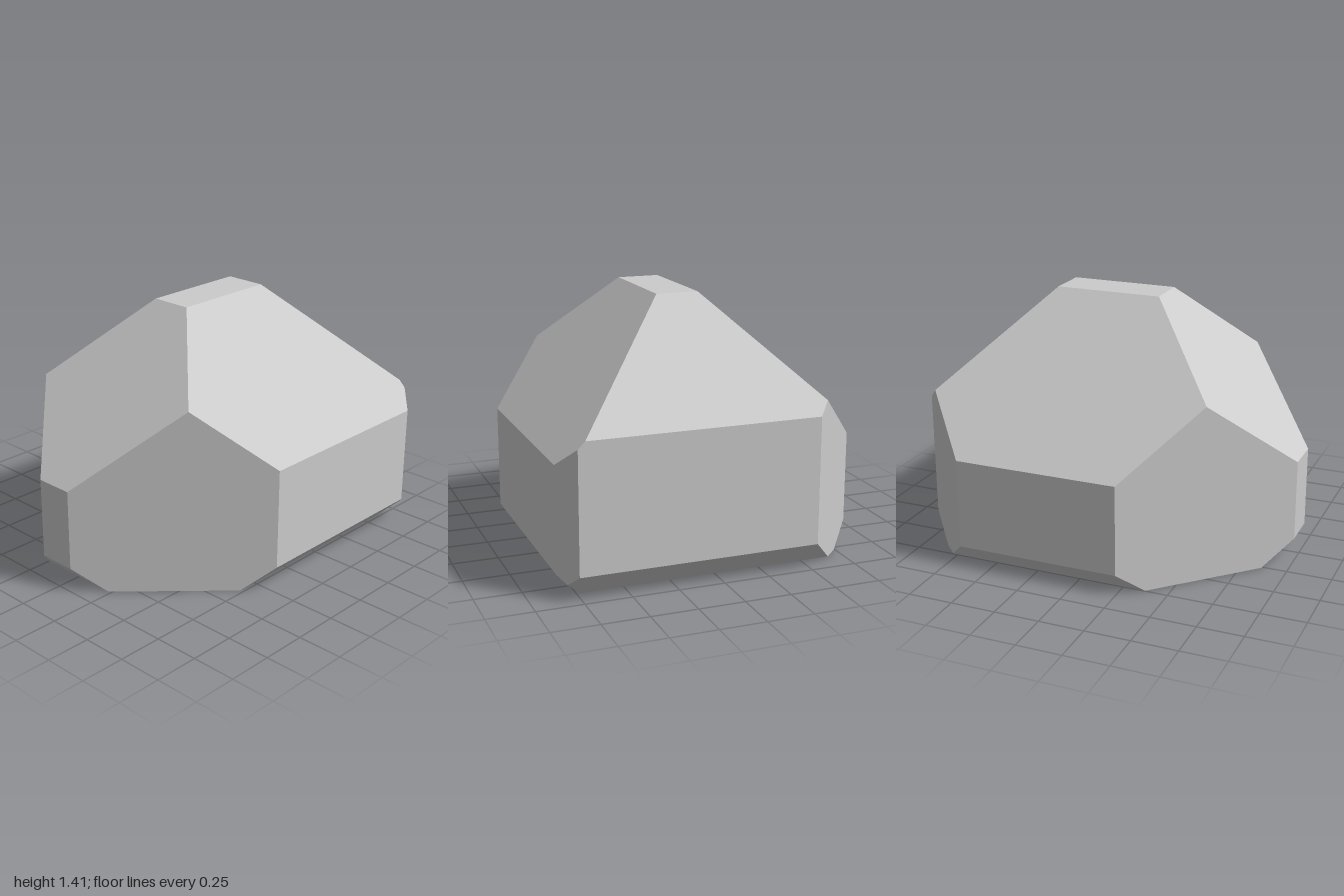
import * as THREE from 'three';
import { ConvexGeometry } from 'three/addons/geometries/ConvexGeometry.js';

// Bounding planes of the faceted block: outward direction and its limit, dot(n, p) <= d
const PLANES = [
  // box sides
  [1, 0, 0, 1], [-1, 0, 0, 1], [0, 1, 0, 1.41], [0, -1, 0, 0], [0, 0, 1, 0.866], [0, 0, -1, 0.866],
  // left and right 45-degree bevels, upper then lower
  [1, 1, 0, 1.83], [-1, 1, 0, 1.59], [1, -1, 0, 0.86], [-1, -1, 0, 0.86],
  // front and back bevels, upper then lower
  [0, 1, 1, 1.566], [0, 1, -1, 1.486], [0, -1, 1, 0.73], [0, -1, -1, 0.746],
  // upright corner bevels
  [1, 0, 1, 1.774], [-1, 0, 1, 1.094], [1, 0, -1, 1.526], [-1, 0, -1, 1.12],
].map(([x, y, z, d]) => ({ n: new THREE.Vector3(x, y, z), d }));

// Corners: every meeting point of three planes that lies inside all the others
function corners(planes) {
  const found = [];
  for (let i = 0; i < planes.length; i++)
    for (let j = i + 1; j < planes.length; j++)
      for (let k = j + 1; k < planes.length; k++) {
        const [a, b, c] = [planes[i], planes[j], planes[k]];
        const bc = b.n.clone().cross(c.n);
        const det = a.n.dot(bc);
        if (Math.abs(det) < 1e-6) continue;
        const p = bc.multiplyScalar(a.d)
          .addScaledVector(c.n.clone().cross(a.n), b.d)
          .addScaledVector(a.n.clone().cross(b.n), c.d)
          .divideScalar(det);
        const inside = planes.every(({ n, d }) => n.dot(p) <= d + 1e-6);
        if (inside && !found.some((q) => q.distanceTo(p) < 1e-4)) found.push(p);
      }
  return found;
}

export function createModel() {
  const group = new THREE.Group();
  group.name = 'facetedRock';
  const material = new THREE.MeshStandardMaterial({ color: 0xcccccc, flatShading: true });
  const body = new THREE.Mesh(new ConvexGeometry(corners(PLANES)), material);
  body.name = 'rockBody';
  group.add(body);
  return group;
}
